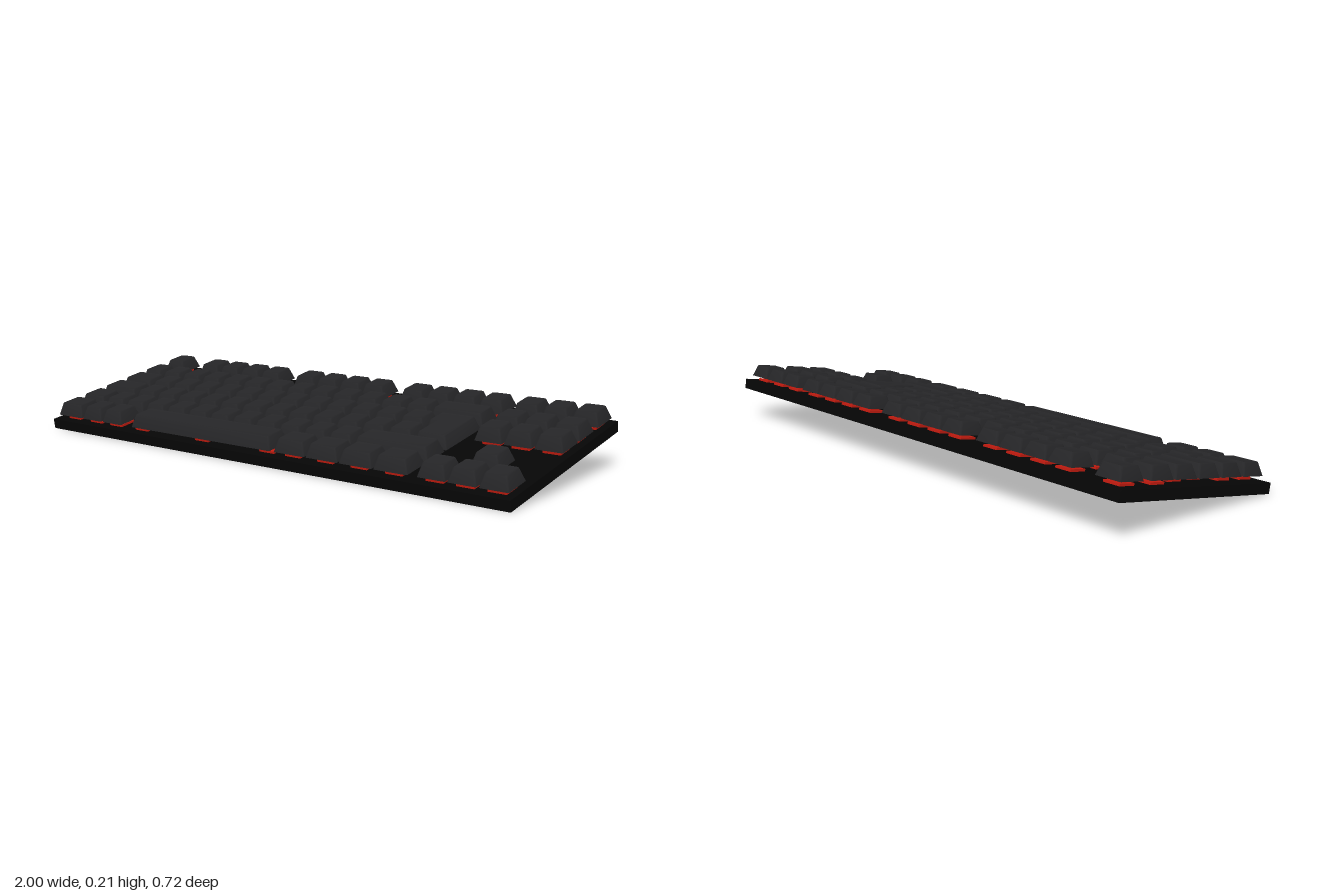
import * as THREE from 'three';
import { toCreasedNormals } from 'three/addons/utils/BufferGeometryUtils.js';

const U = 0.108;          // key pitch
const GAP = 0.0065;       // space between caps
const DEPTH = 0.1055;     // cap depth
const PLATE_TOP = 0.0185;
const CAP_BASE = 0.0355;
const CAP_TOP = 0.08;

const capMat = new THREE.MeshStandardMaterial({ color: 0x252527 });
const plateMat = new THREE.MeshStandardMaterial({ color: 0x060606 });
const switchMat = new THREE.MeshStandardMaterial({ color: 0xc41c10 });

// Outline ring: corners are [x, z, outward x, outward z, reflex?]
function ring(corners, y, side, front, back, r) {
  const pts = [];
  for (const [x, z, sx, sz, reflex] of corners) {
    const px = x - sx * side;
    const pz = z - (sz > 0 ? front : -back);
    if (reflex) { pts.push(new THREE.Vector3(px, y, pz)); continue; }
    const start = Math.atan2(-sz, sx) - Math.PI / 4;
    for (let i = 0; i <= 3; i++) {
      const a = start + (i / 3) * Math.PI / 2;
      pts.push(new THREE.Vector3(px - sx * r + r * Math.cos(a), y, pz - sz * r - r * Math.sin(a)));
    }
  }
  return pts;
}

// Tapered cap lofted through rings, with a shallow dished top
function capGeometry(corners) {
  const rings = [
    ring(corners, CAP_BASE, 0, 0, 0, 0.005),
    ring(corners, CAP_TOP - 0.002, 0.0135, 0.015, 0.0095, 0.008),
    ring(corners, CAP_TOP, 0.0155, 0.017, 0.0115, 0.008),
    ring(corners, CAP_TOP - 0.0015, 0.022, 0.0235, 0.018, 0.006),
  ];
  const n = rings[0].length;
  const pos = rings.flat().flatMap(p => [p.x, p.y, p.z]);
  const index = [];
  for (let k = 0; k < rings.length - 1; k++) {
    for (let i = 0; i < n; i++) {
      const a = k * n + i, b = k * n + (i + 1) % n;
      index.push(a, b, b + n, a, b + n, a + n);
    }
  }
  const fill = (k, flip) => {
    const flat = rings[k].map(p => new THREE.Vector2(p.x, -p.z));
    for (const [a, b, c] of THREE.ShapeUtils.triangulateShape(flat, [])) {
      index.push(k * n + a, k * n + (flip ? c : b), k * n + (flip ? b : c));
    }
  };
  fill(0, true);
  fill(rings.length - 1, false);
  const g = new THREE.BufferGeometry();
  g.setAttribute('position', new THREE.Float32BufferAttribute(pos, 3));
  g.setIndex(index);
  return toCreasedNormals(g, 0.6);
}

function rectCorners(w, d) {
  const x = w / 2, z = d / 2;
  return [[x, z, 1, 1], [x, -z, 1, -1], [-x, -z, -1, -1], [-x, z, -1, 1]];
}

const housingGeo = new THREE.BoxGeometry(0.064, 0.008, 0.064);
const stemGeo = new THREE.BoxGeometry(0.036, 0.011, 0.036);

function addSwitch(parent, x, z) {
  const housing = new THREE.Mesh(housingGeo, switchMat);
  housing.name = 'switchHousing';
  housing.position.set(x, PLATE_TOP + 0.004, z);
  const stem = new THREE.Mesh(stemGeo, switchMat);
  stem.name = 'switchStem';
  stem.position.set(x, PLATE_TOP + 0.0125, z);
  parent.add(housing, stem);
}

const capCache = new Map();
function addKey(parent, name, x, z, units) {
  if (!capCache.has(units)) {
    capCache.set(units, capGeometry(rectCorners(units * U - GAP, DEPTH)));
  }
  const key = new THREE.Group();
  key.name = name;
  key.position.set(x, 0, z);
  const cap = new THREE.Mesh(capCache.get(units), capMat);
  cap.name = 'keycap';
  key.add(cap);
  // The long bar rests on three switches
  for (const sx of units > 4 ? [-0.3, 0, 0.3] : [0]) addSwitch(key, sx, 0);
  parent.add(key);
}

export function createModel() {
  const model = new THREE.Group();
  model.name = 'keyboard';
  const board = new THREE.Group();
  board.name = 'tiltedBoard';
  board.rotation.x = 0.17;
  board.position.y = 0.0805;
  model.add(board);

  // Base plate
  const plate = new THREE.Mesh(new THREE.BoxGeometry(2, 0.037, 0.729), plateMat);
  plate.name = 'basePlate';
  board.add(plate);

  // Main block: key widths in units, negative values are gaps
  const ones = n => Array(n).fill(1);
  const rows = [
    { name: 'functionRow', z: -0.291, keys: [1, -0.8, ...ones(4), -0.6, ...ones(4), -0.6, ...ones(4)] },
    { name: 'numberRow', z: -0.155, keys: [...ones(13), 2] },
    { name: 'upperRow', z: -0.0425, keys: [1.5, ...ones(12)] },
    { name: 'homeRow', z: 0.0705, keys: [1.75, ...ones(12)] },
    { name: 'lowerRow', z: 0.184, keys: [1.25, ...ones(11), 2.75] },
    { name: 'bottomRow', z: 0.299, keys: [1.25, 1, 1, -0.45, 6.2, -0.1, 1.25, 1.25, 1.25, 1.25] },
  ];
  const left = -0.98;
  const groups = rows.map(({ name, z, keys }) => {
    const row = new THREE.Group();
    row.name = name;
    let x = left;
    for (const k of keys) {
      const w = Math.abs(k);
      if (k > 0) addKey(row, k > 4 ? 'spaceBar' : 'key', x + w * U / 2, z, w);
      x += w * U;
    }
    board.add(row);
    return row;
  });

  // L-shaped enter key spanning two rows
  const right = left + 15 * U - GAP / 2;
  const upperLeft = left + 13.5 * U + GAP / 2;
  const lowerLeft = left + 13.75 * U + GAP / 2;
  const zMin = rows[2].z - DEPTH / 2, step = rows[2].z + DEPTH / 2, zMax = rows[3].z + DEPTH / 2;
  const enter = new THREE.Group();
  enter.name = 'enterKey';
  const enterCap = new THREE.Mesh(capGeometry([
    [right, zMax, 1, 1], [right, zMin, 1, -1], [upperLeft, zMin, -1, -1],
    [upperLeft, step, -1, 1], [lowerLeft, step, -1, 1, true], [lowerLeft, zMax, -1, 1],
  ]), capMat);
  enterCap.name = 'keycap';
  enter.add(enterCap);
  addSwitch(enter, (lowerLeft + right) / 2, (zMin + zMax) / 2);
  board.add(enter);

  // Navigation block and arrow keys
  const columns = [0.722, 0.83, 0.939];
  for (const r of [0, 1, 2]) {
    for (const x of columns) addKey(groups[r], 'navigationKey', x, rows[r].z, 1);
  }
  for (const x of columns) addKey(groups[5], 'arrowKey', x, rows[5].z, 1);
  addKey(groups[4], 'upArrowKey', columns[1], 0.165, 1);

  return model;
}
